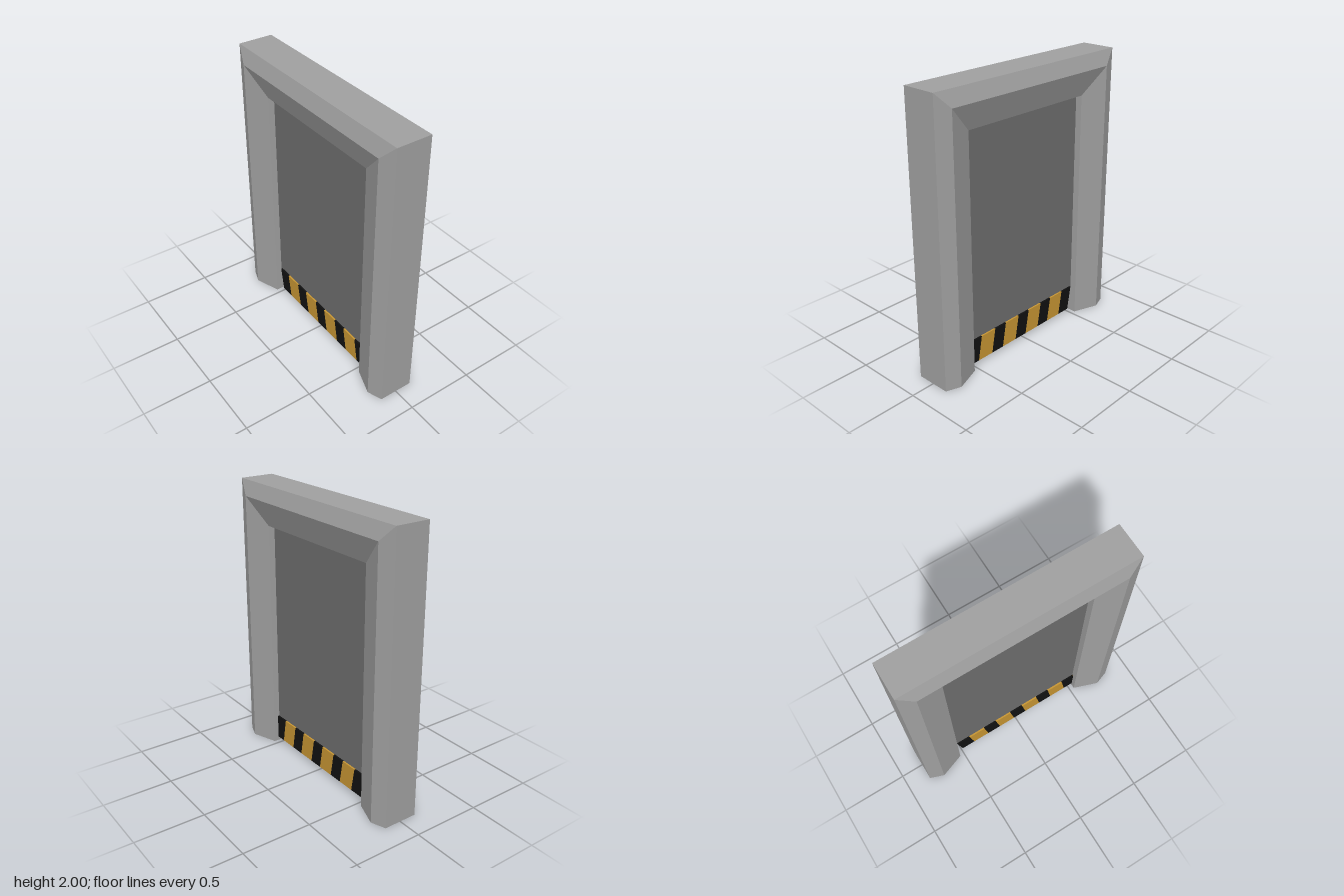
import * as THREE from 'three';

const frameGrey = new THREE.MeshStandardMaterial({ color: 0xa0a0a0, side: THREE.DoubleSide });
frameGrey.name = 'frame grey';
const panelGrey = new THREE.MeshStandardMaterial({ color: 0x6e6e6e });
panelGrey.name = 'panel grey';
const yellow = new THREE.MeshStandardMaterial({ color: 0xc79533 });
yellow.name = 'warning yellow';
const black = new THREE.MeshStandardMaterial({ color: 0x111111 });
black.name = 'warning black';

// Hollow frame: a six-sided profile swept up one leg, across the top and down the other
function frameGeometry() {
  const profile = [ // [inset from the outer edge, x]
    [0, -0.125], [0, 0.125], [0.105, 0.163],
    [0.29, 0.097], [0.29, -0.097], [0.105, -0.163],
  ];
  const stations = [[1, 0], [1, 1], [-1, 1], [-1, 0]]; // [side, at top]
  const point = ([inset, x], [side, top]) => [x, top * (2 - inset), side * (0.825 - inset)];
  const positions = [];
  for (let s = 0; s < stations.length - 1; s++) {
    profile.forEach((p, i) => {
      const q = profile[(i + 1) % profile.length];
      const a = point(p, stations[s]);
      const b = point(q, stations[s]);
      const c = point(q, stations[s + 1]);
      const d = point(p, stations[s + 1]);
      positions.push(...a, ...b, ...c, ...a, ...c, ...d);
    });
  }
  const geometry = new THREE.BufferGeometry();
  geometry.setAttribute('position', new THREE.Float32BufferAttribute(positions, 3));
  geometry.computeVertexNormals();
  return geometry;
}

// One slanted slice of the warning bar, from zStart down to zEnd (measured at the top edge)
function stripeGeometry(zStart, zEnd) {
  const y0 = 0.03, y1 = 0.21, slant = 0.032, halfDepth = 0.062, end = 0.63;
  const along = (z) => -THREE.MathUtils.clamp(z, -end, end);
  const shape = new THREE.Shape([
    new THREE.Vector2(along(zStart + slant), y0),
    new THREE.Vector2(along(zEnd + slant), y0),
    new THREE.Vector2(along(zEnd), y1),
    new THREE.Vector2(along(zStart), y1),
  ]);
  const geometry = new THREE.ExtrudeGeometry(shape, { depth: halfDepth * 2, bevelEnabled: false });
  return geometry.translate(0, 0, -halfDepth).rotateY(Math.PI / 2);
}

export function createModel() {
  const model = new THREE.Group();
  model.name = 'door';
  const add = (parent, name, geometry, material) => {
    const mesh = new THREE.Mesh(geometry, material);
    mesh.name = name;
    parent.add(mesh);
    return mesh;
  };

  add(model, 'frame', frameGeometry(), frameGrey);

  // Sliding panel, its edges hidden inside the frame
  add(model, 'panel', new THREE.BoxGeometry(0.1, 1.56, 1.2), panelGrey).position.y = 0.98;

  // Striped warning bar along the bottom of the panel
  const bar = new THREE.Group();
  bar.name = 'warningBar';
  model.add(bar);
  const period = 0.237, blackWidth = 0.106;
  for (let k = 0; k < 5; k++) {
    const z = 0.534 - k * period;
    add(bar, 'yellowStripe', stripeGeometry(z + period - blackWidth, z), yellow);
    add(bar, 'blackStripe', stripeGeometry(z, z - blackWidth), black);
  }
  // Yellow slice between the last two black stripes
  const lastZ = 0.534 - 4 * period;
  bar.children[bar.children.length - 1].name = 'blackEnd';
  bar.userData.length = 0.63 - Math.max(lastZ, -0.63);
  return model;
}
